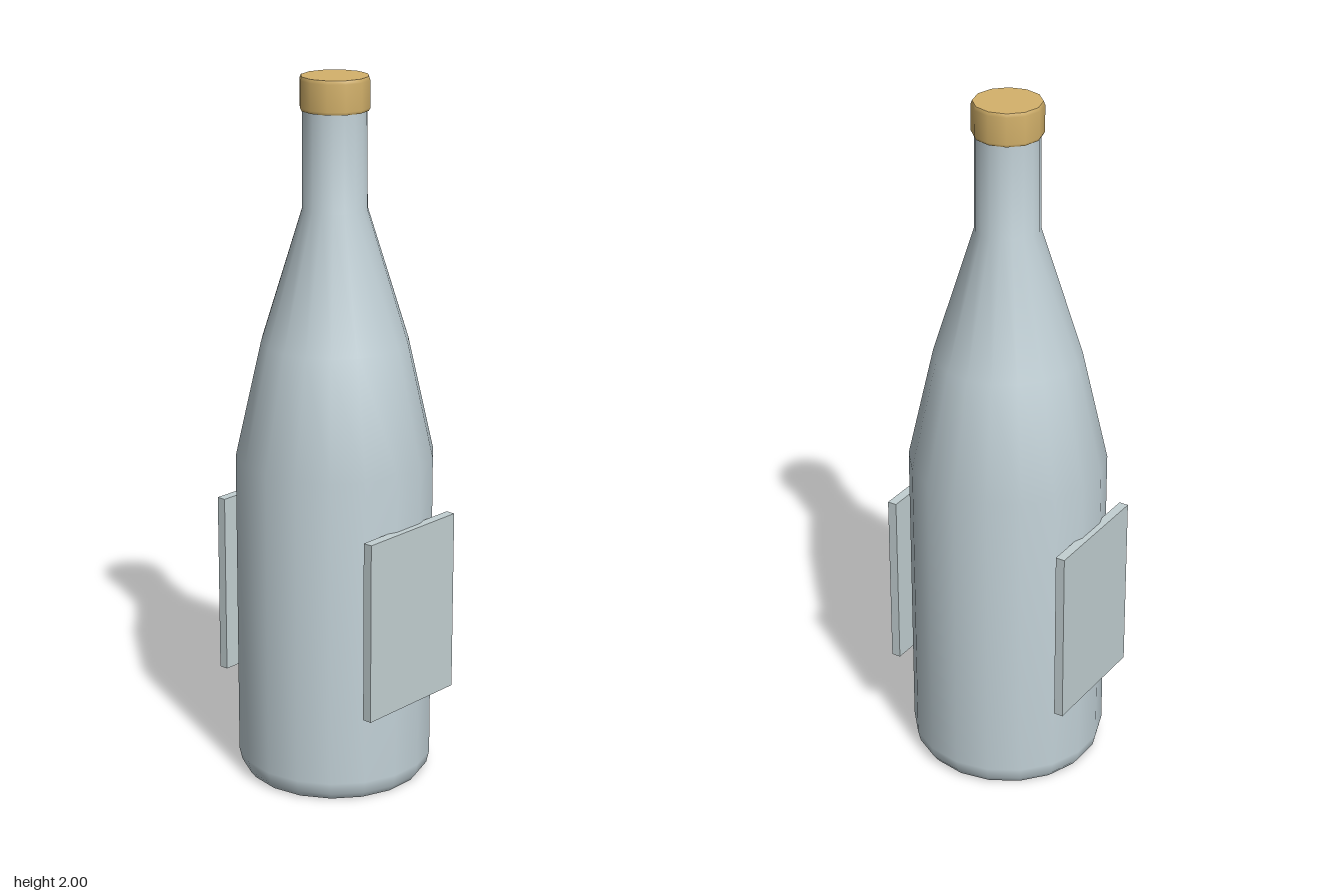
import * as THREE from 'three';

const glass = new THREE.MeshStandardMaterial({ name: 'paleGlass', color: 0xc2d1d7 });
const paper = new THREE.MeshStandardMaterial({ name: 'labelPaper', color: 0xc3d0d2 });
const gold = new THREE.MeshStandardMaterial({ name: 'goldCap', color: 0xd4b26b });

function add(parent, name, geometry, material) {
  const mesh = new THREE.Mesh(geometry, material);
  mesh.name = name;
  parent.add(mesh);
  return mesh;
}

// Surface of revolution with a corner on the x axis, profile from bottom to top
function turned(profile, sides) {
  const points = profile.map(([r, y]) => new THREE.Vector2(r, y));
  return new THREE.LatheGeometry(points, sides, Math.PI / 2);
}

// Flat end disc facing up (1) or down (-1)
function disc(radius, y, sides, facing) {
  return new THREE.CircleGeometry(radius, sides).rotateX(-facing * Math.PI / 2).translate(0, y, 0);
}

export function createModel() {
  const model = new THREE.Group();
  model.name = 'bottle';

  // Glass body: rounded foot, straight wall, sloping shoulder, neck
  add(model, 'body', turned([
    [0.255, 0], [0.27, 0.02], [0.278, 0.055], [0.278, 0.945],
    [0.205, 1.27], [0.09, 1.64], [0.088, 1.92],
  ], 18), glass);
  add(model, 'base', disc(0.255, 0, 18, -1), glass);

  // Cap with slightly bevelled rims
  const cap = new THREE.Group();
  cap.name = 'cap';
  model.add(cap);
  add(cap, 'capSide', turned([
    [0.093, 1.908], [0.097, 1.916], [0.097, 1.99], [0.093, 2],
  ], 12), gold);
  add(cap, 'capTop', disc(0.093, 2, 12, 1), gold);
  add(cap, 'capUnderside', disc(0.093, 1.908, 12, -1), gold);

  // Flat label panels, front and back
  for (const side of [1, -1]) {
    const label = add(model, side > 0 ? 'frontLabel' : 'backLabel',
      new THREE.BoxGeometry(0.348, 0.52, 0.027), paper);
    label.position.set(0, 0.525, side * 0.278);
  }

  return model;
}
